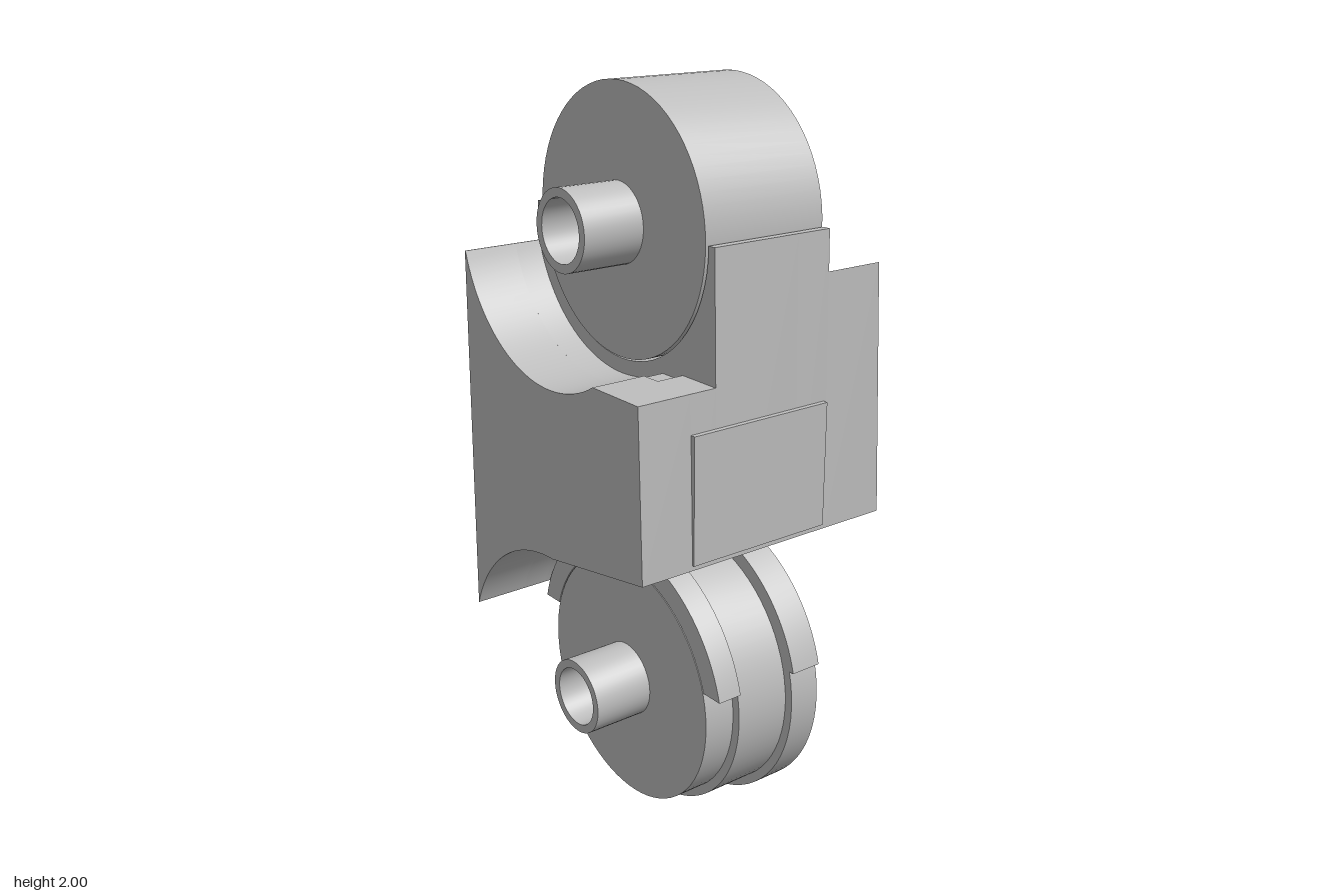
import * as THREE from 'three';
import { toCreasedNormals } from 'three/addons/utils/BufferGeometryUtils.js';

const TOP = 1.66, LOW = 0.4; // heights of the two wheel centres

export function createModel() {
  const group = new THREE.Group();
  const grey = new THREE.MeshStandardMaterial({ color: 0xbfbfbf });
  grey.name = 'plain grey';

  const add = (name, geometry, crease = 0.4) => {
    const mesh = new THREE.Mesh(toCreasedNormals(geometry, crease), grey);
    mesh.name = name;
    group.add(mesh);
  };

  // side outline in (z, y), extruded from x0 to x1
  const slab = (points, x0, x1) => {
    const shape = new THREE.Shape(points.map(([z, y]) => new THREE.Vector2(z, y)));
    return new THREE.ExtrudeGeometry(shape, { depth: x1 - x0, bevelEnabled: false })
      .rotateY(-Math.PI / 2).translate(x1, 0, 0);
  };
  const arc = (cy, r, a0, a1, n = 32) => Array.from({ length: n + 1 }, (_, i) => {
    const a = a0 + (a1 - a0) * i / n;
    return [r * Math.cos(a), cy + r * Math.sin(a)];
  });
  const box = (name, x0, x1, y0, y1, z0, z1) => add(name,
    new THREE.BoxGeometry(x1 - x0, y1 - y0, z1 - z0)
      .translate((x0 + x1) / 2, (y0 + y1) / 2, (z0 + z1) / 2));
  const disc = (name, x0, x1, y, r, sides = 72) => add(name,
    new THREE.CylinderGeometry(r, r, x1 - x0, sides).rotateZ(Math.PI / 2)
      .translate((x0 + x1) / 2, y, 0));

  // slightly flared front and back faces
  const frontZ = y => 0.367 + (TOP - y) * 0.026;
  const backZ = y => -0.37 - (TOP - y) * 0.0215;

  // body slice: cradle on top for the upper wheel, arch below for the lower one
  const bodyOutline = ({ r, front, back, notch = false, groove = false }) => {
    const a0 = -Math.asin((TOP - front) / r);
    const a1 = -Math.PI + Math.asin((TOP - back) / r);
    const points = [[frontZ(0.887), 0.887], [frontZ(front), front]];
    if (notch) {
      const floor = 1.316;
      points.push([0.25, front], [0.25, floor],
        ...arc(TOP, r, -Math.asin((TOP - floor) / r), a1));
    } else points.push(...arc(TOP, r, a0, a1));
    points.push([backZ(back), back]);
    if (groove) {
      points.push([backZ(0.72), 0.72],
        ...arc(LOW, 0.455, Math.PI - Math.asin(0.32 / 0.455), Math.acos(0.11 / 0.455)));
    } else {
      const z = -0.394;
      points.push(...arc(LOW, 0.42, Math.acos(z / 0.42), Math.PI / 2));
    }
    return points;
  };
  const low = { r: 0.384, front: 1.33, back: 1.555 };
  const mid = { r: 0.345, front: TOP, back: TOP };
  const high = { r: 0.384, front: 1.555, back: 1.555 };
  add('bodyRightShoulder', slab(bodyOutline(low), -0.39, -0.24));
  add('bodyNotchedShoulder', slab(bodyOutline({ ...low, notch: true }), -0.24, -0.165));
  add('bodyCentreRight', slab(bodyOutline(mid), -0.165, -0.09));
  add('bodyCentreGroove', slab(bodyOutline({ ...mid, groove: true }), -0.09, 0.09));
  add('bodyCentreLeft', slab(bodyOutline(mid), 0.09, 0.19));

  // left shoulder has a leaning outer face
  const left = slab(bodyOutline(high), 0.19, 0.36);
  const p = left.attributes.position;
  for (let i = 0; i < p.count; i++) {
    if (p.getX(i) > 0.3) p.setX(i, 0.36 + (1.555 - p.getY(i)) * 0.03);
  }
  add('bodyLeftShoulder', left);

  // raised plate on the front
  box('frontPanel', -0.24, 0.18, 0.9, 1.23, 0.37, 0.392);

  // curved guards over the lower wheel
  const guard = (name, inner, outer, x0, x1) => {
    const a = r => Math.asin(0.1 / r);
    add(name, slab([
      ...arc(LOW, outer, a(outer), Math.PI - a(outer), 48),
      ...arc(LOW, inner, Math.PI - a(inner), a(inner), 48),
    ], x0, x1));
  };
  guard('rightGuard', 0.348, 0.41, -0.16, -0.09);
  guard('leftGuard', 0.385, 0.41, 0.09, 0.18);

  // wheels
  disc('upperWheel', -0.17, 0.19, TOP, 0.34);
  disc('lowerWheelRight', -0.16, -0.07, LOW, 0.345);
  disc('lowerWheelMiddle', -0.07, 0.09, LOW, 0.37);
  disc('lowerWheelLeft', 0.09, 0.18, LOW, 0.395);

  // axles, hollow on the right
  const tube = (name, x0, x1, y) => {
    const outline = [[0.08, x1], [0.08, x0], [0.103, x0], [0.103, x1]]
      .map(([r, h]) => new THREE.Vector2(r, -h));
    outline.reverse();
    add(name, new THREE.LatheGeometry(outline, 40).rotateZ(Math.PI / 2).translate(0, y, 0));
  };
  tube('upperAxleTube', -0.34, -0.17, TOP);
  tube('lowerAxleTube', -0.33, -0.16, LOW);
  disc('upperAxleEnd', 0.18, 0.28, TOP, 0.103, 40);
  disc('lowerAxleNeck', 0.17, 0.2, LOW, 0.1, 40);
  disc('lowerAxleHead', 0.19, 0.295, LOW, 0.135, 12);

  // thin ribs beside the wheels
  box('upperRib', 0.185, 0.205, 1.28, 1.35, -0.168, -0.152);
  box('lowerRib', 0.175, 0.192, 0.4, 0.8, -0.172, -0.14);

  return group;
}
